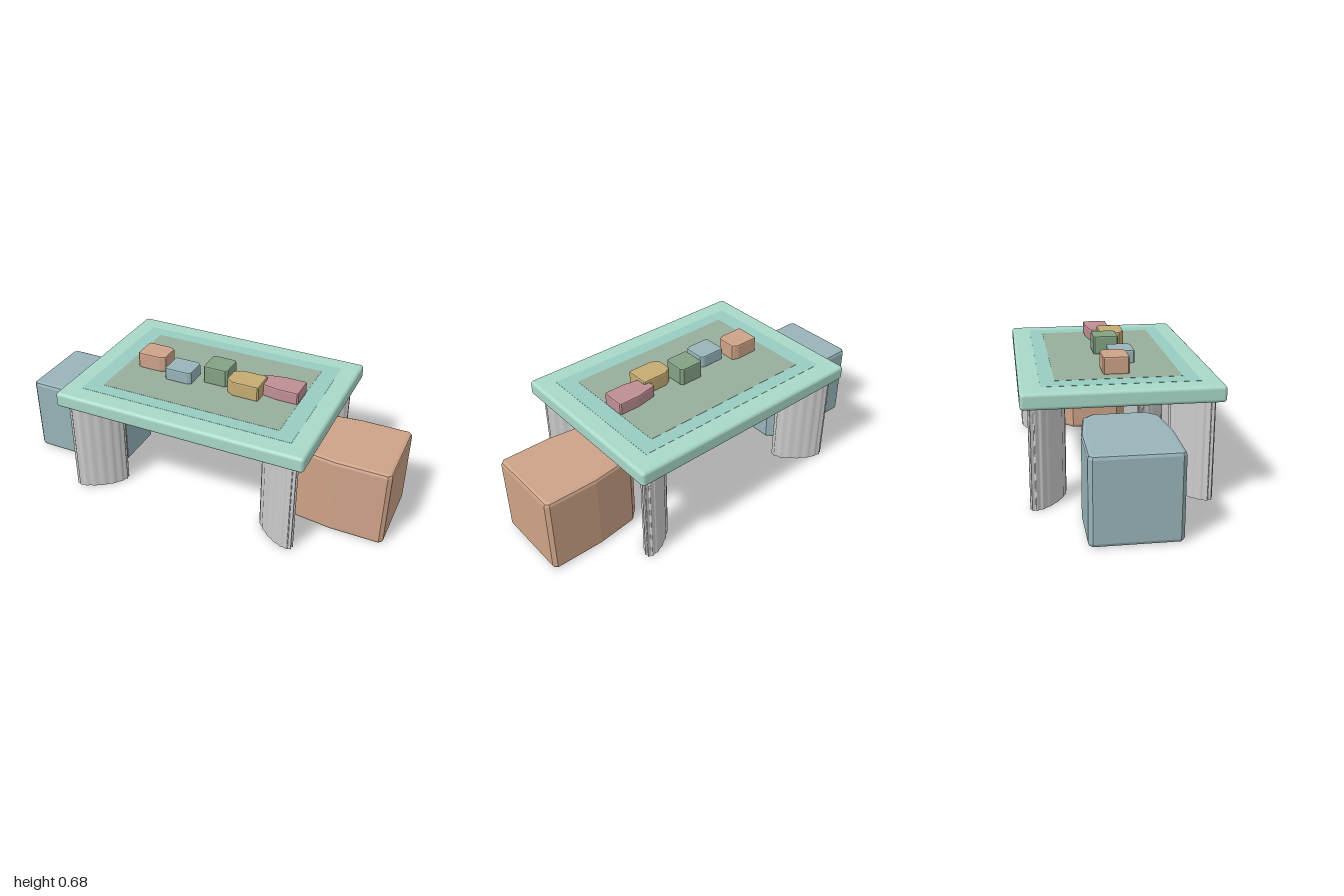
import * as THREE from 'three';
import { RoundedBoxGeometry } from 'three/addons/geometries/RoundedBoxGeometry.js';

const mat = (color) => new THREE.MeshStandardMaterial({ color });

function mesh(name, geometry, color) {
  const m = new THREE.Mesh(geometry, mat(color));
  m.name = name;
  return m;
}

// Bevelled block: square at x = 0, narrowing from x = taper to half-width tip at x = len
function taperedBlock({ len, half, height, taper, tip, bevel, tipCut }) {
  const side = [
    [0, half - bevel], [bevel, half], [taper, half],
    [len - tipCut, tip], [len, tip - tipCut],
  ];
  const outline = [
    ...side.map(([x, z]) => new THREE.Vector2(x, -z)),
    ...side.reverse().map(([x, z]) => new THREE.Vector2(x, z)),
  ];
  const g = new THREE.ExtrudeGeometry(new THREE.Shape(outline), {
    depth: height - 2 * bevel, bevelEnabled: true, bevelSegments: 2,
    bevelSize: bevel, bevelThickness: bevel, bevelOffset: -bevel,
  });
  g.rotateX(-Math.PI / 2);
  g.translate(0, bevel, 0);
  return g;
}

// Upright leg with a flat oval section and shallow flutes
function flutedLeg() {
  const g = new THREE.CylinderGeometry(1, 1, 0.5, 128, 1);
  const p = g.attributes.position;
  for (let i = 0; i < p.count; i++) {
    const a = Math.atan2(p.getZ(i), p.getX(i));
    const r = Math.hypot(p.getX(i), p.getZ(i)) * (0.97 + 0.03 * Math.cos(16 * a));
    p.setXYZ(i, 0.1375 * r * Math.cos(a), p.getY(i) + 0.25, 0.05 * r * Math.sin(a));
  }
  g.computeVertexNormals();
  return g;
}

export function createModel() {
  const model = new THREE.Group();
  model.name = 'tableWithSeats';

  // Table top with two thin inlays
  const top = mesh('tableTop', new RoundedBoxGeometry(1.31, 0.08, 0.935, 3, 0.018), 0xa8d8c8);
  top.position.y = 0.54;
  model.add(top);
  const outer = mesh('outerInlay', new THREE.BoxGeometry(1.12, 0.002, 0.74), 0x98ccc2);
  outer.position.y = 0.58;
  const inner = mesh('innerInlay', new THREE.BoxGeometry(0.95, 0.002, 0.6), 0x98ae9d);
  inner.position.y = 0.581;
  model.add(outer, inner);

  // Four legs, each pointing outwards along its diagonal
  const legGeometry = flutedLeg();
  for (const sx of [-1, 1]) {
    for (const sz of [-1, 1]) {
      const leg = mesh(`${sz > 0 ? 'front' : 'back'}${sx > 0 ? 'Left' : 'Right'}Leg`, legGeometry, 0xcccccc);
      leg.position.set(0.5 * sx, 0, 0.34 * sz);
      leg.rotation.y = -sx * sz * 0.645;
      model.add(leg);
    }
  }

  // Two seats whose narrow ends tuck under the table
  const seatGeometry = taperedBlock({
    len: 0.53, half: 0.207, height: 0.415, taper: 0.27, tip: 0.18, bevel: 0.018, tipCut: 0.05,
  });
  const leftSeat = mesh('leftSeat', seatGeometry, 0xcda388);
  leftSeat.position.x = 1;
  leftSeat.rotation.y = Math.PI;
  const rightSeat = mesh('rightSeat', seatGeometry, 0x98b4b9);
  rightSeat.position.x = -1;
  model.add(leftSeat, rightSeat);

  // Row of small blocks: square end x, narrow end x, z, height, taper length, tip half-width
  const blocks = [
    ['orangeBlock', 0xcda388, -0.407, -0.253, -0.003, 0.085, 0.03, 0.055],
    ['blueBlock', 0x98b4b9, -0.222, -0.077, 0.052, 0.067, 0.02, 0.058],
    ['greenBlock', 0x84a284, -0.032, 0.1, -0.003, 0.095, 0.012, 0.058],
    ['yellowBlock', 0xc4ab72, 0.29, 0.115, 0.052, 0.08, 0.04, 0.045],
    ['pinkBlock', 0xbf8f94, 0.476, 0.255, -0.003, 0.065, 0.11, 0.045],
  ];
  for (const [name, color, x0, x1, z, height, taperLen, tip] of blocks) {
    const len = Math.abs(x1 - x0);
    const block = mesh(name, taperedBlock({
      len, half: 0.064, height, taper: len - taperLen, tip, bevel: 0.007, tipCut: 0.008,
    }), color);
    block.position.set(x0, 0.58, z);
    if (x1 < x0) block.rotation.y = Math.PI;
    model.add(block);
  }

  return model;
}
